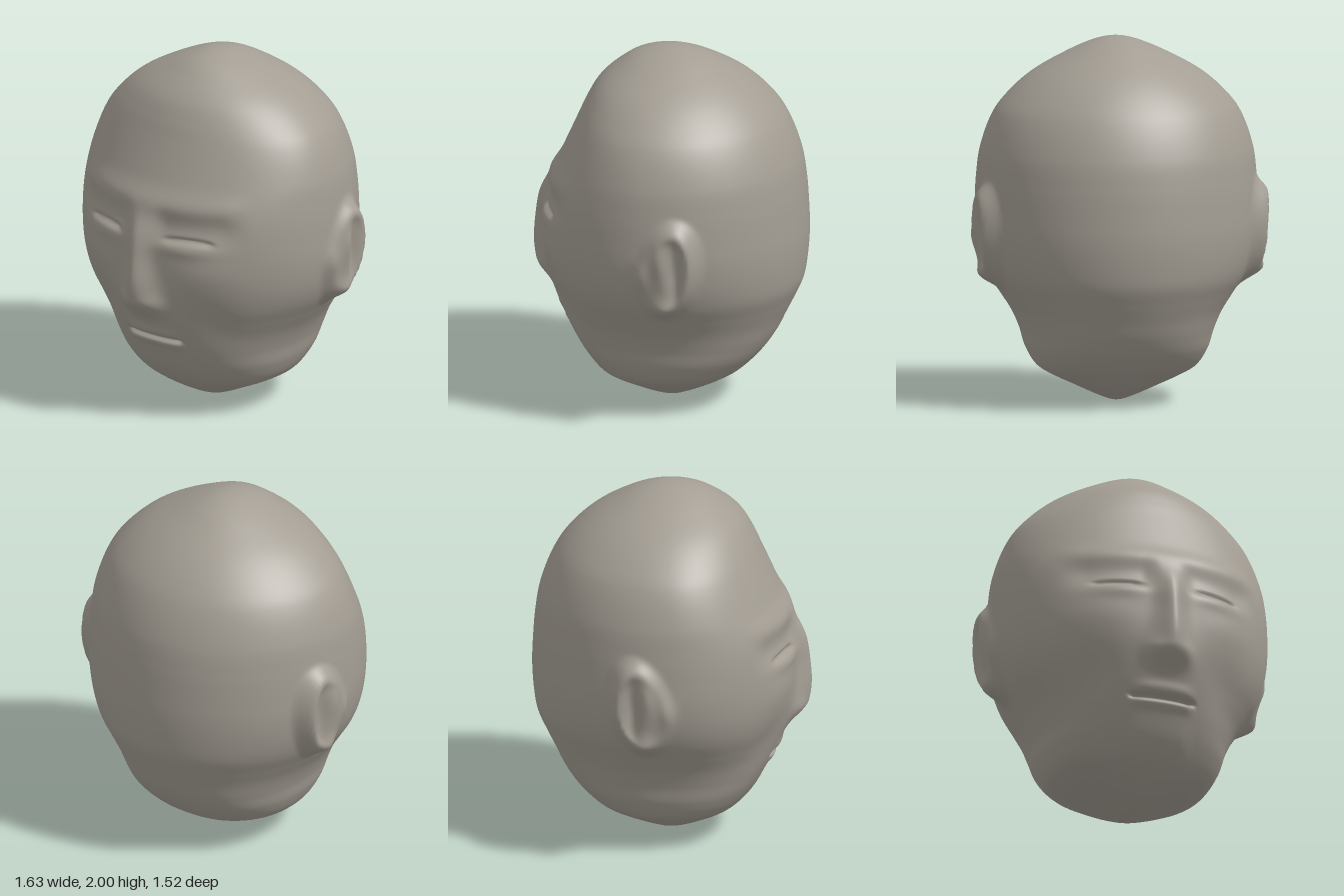
import * as THREE from 'three';
import { mergeVertices } from 'three/addons/utils/BufferGeometryUtils.js';

const COLS = 256, ROWS = 280;
// Skull profile from chin to crown: height, half width, front depth, back depth
const PROFILE = [
  [0, 0, 0, 0], [0.008, 0.04, 0.05, 0.05], [0.035, 0.11, 0.13, 0.12], [0.1, 0.25, 0.26, 0.255],
  [0.15, 0.355, 0.335, 0.34], [0.2, 0.435, 0.39, 0.415], [0.3, 0.495, 0.465, 0.515],
  [0.4, 0.525, 0.53, 0.585], [0.5, 0.57, 0.585, 0.635], [0.6, 0.635, 0.63, 0.685],
  [0.7, 0.7, 0.66, 0.728], [0.8, 0.74, 0.68, 0.745], [0.95, 0.768, 0.69, 0.755],
  [1.1, 0.772, 0.69, 0.75], [1.25, 0.765, 0.66, 0.738], [1.4, 0.745, 0.59, 0.712],
  [1.6, 0.67, 0.5, 0.632], [1.7, 0.59, 0.455, 0.56], [1.8, 0.475, 0.395, 0.455],
  [1.9, 0.3, 0.285, 0.305], [1.965, 0.155, 0.18, 0.175], [1.993, 0.065, 0.08, 0.075], [2, 0, 0, 0],
];

const step = THREE.MathUtils.smoothstep;
const bell = (d, s) => Math.exp(-((d / s) ** 2));
const blob = (x, y, cx, cy, sx, sy) => bell(x - cx, sx) * bell(y - cy, sy);

// Forward relief of the face; a = distance from the midline
function faceRelief(a, y) {
  let d = 0;
  // nose ridge widening to the tip, with soft wings
  const length = (1 - step(y, 0.78, 1.3)) * step(y, 0.56, 0.73);
  const width = 0.065 + 0.035 * (1 - step(y, 0.72, 1.0));
  d += (0.03 * step(y, 0.6, 0.74) * (1 - step(y, 1.1, 1.28)) + 0.055 * length) * bell(a, width);
  d += 0.022 * blob(a, y, 0.095, 0.71, 0.05, 0.06);
  // brow, eye socket, lid and eye slit
  d += 0.012 * bell(y - 1.29, 0.06) * (1 - step(a, 0.45, 0.6));
  d -= 0.028 * step(a, 0.05, 0.15) * (1 - step(a, 0.42, 0.6)) * bell(y - 1.17, 0.085);
  d += 0.012 * blob(a, y, 0.28, 1.06, 0.15, 0.04);
  const eyeY = 1.108 - 0.5 * (a - 0.28) ** 2;
  d -= 0.024 * step(a, 0.12, 0.2) * (1 - step(a, 0.37, 0.45)) * bell(y - eyeY, 0.013);
  // cheekbones and hollows
  d += 0.012 * blob(a, y, 0.4, 0.92, 0.18, 0.1);
  d -= 0.022 * blob(a, y, 0.36, 0.62, 0.14, 0.14);
  // lips, mouth slit and chin
  d += 0.012 * bell(y - 0.45, 0.025) * (1 - step(a, 0.12, 0.21));
  d += 0.012 * bell(y - 0.52, 0.035) * (1 - step(a, 0.1, 0.22));
  d -= 0.035 * bell(y - 0.482, 0.013) * (1 - step(a, 0.15, 0.21));
  d += 0.012 * bell(y - 0.28, 0.09) * (1 - step(a, 0.14, 0.24));
  return d;
}

// Sideways relief of an ear
function earRelief(y, z) {
  const u = (z + 0.155 + 0.12 * (y - 0.95)) / 0.18, v = (y - 0.94) / 0.3;
  const e = Math.hypot(u, v), rear = step(-u, -1, 0.8);
  let d = (0.028 + 0.035 * rear) * (1 - step(e, 0.65, 1.08));
  d += 0.024 * bell(e - 0.78, 0.16) * step(-u, -0.6, 0.3);  // outer rim
  d -= 0.04 * blob(z, y, -0.2, 0.95, 0.035, 0.15);           // hollow
  d += 0.014 * blob(z, y, -0.12, 1.02, 0.035, 0.1);          // inner fold
  d += 0.022 * blob(z, y, -0.13, 0.74, 0.06, 0.06);          // lobe
  d += 0.016 * blob(z, y, 0, 0.92, 0.04, 0.08);              // front flap
  return d;
}

function headGeometry() {
  const along = [0];
  for (let i = 1; i < PROFILE.length; i++) {
    const [p, q] = [PROFILE[i - 1], PROFILE[i]];
    along.push(along[i - 1] + Math.hypot(q[0] - p[0], q[1] - p[1]));
  }
  const total = along[along.length - 1];
  const curve = new THREE.CubicInterpolant(along, PROFILE.flat(), 4, new Float32Array(4));
  const position = [], index = [];
  for (let i = 0; i <= ROWS; i++) {
    const [y, w, front, back] = i === 0 ? PROFILE[0]
      : i === ROWS ? PROFILE[PROFILE.length - 1] : curve.evaluate(total * i / ROWS);
    const n = 2 + 0.3 * bell(y - 0.3, 0.22); // squarer section at the jaw
    for (let j = 0; j < COLS; j++) {
      const t = j / COLS * Math.PI * 2, s = Math.sin(t), c = Math.cos(t);
      const r = (Math.abs(s) ** n + Math.abs(c) ** n) ** (-1 / n);
      let x = w * r * s, z = (c > 0 ? front : back) * r * c;
      const z0 = z;
      if (c > 0) z += faceRelief(Math.abs(x), y) * step(c, 0.1, 0.6);
      if (Math.abs(s) > 0.5) x += Math.sign(s) * earRelief(y, z0) * step(Math.abs(s), 0.5, 0.8);
      position.push(x, y, z);
      if (i < ROWS) {
        const k = (j + 1) % COLS, a = i * COLS, b = a + COLS;
        if (i > 0) index.push(a + j, a + k, b + j);
        if (i < ROWS - 1) index.push(a + k, b + k, b + j);
        if (i === 0) continue;
      }
    }
  }
  const raw = new THREE.BufferGeometry();
  raw.setAttribute('position', new THREE.Float32BufferAttribute(position, 3));
  raw.setIndex(index);
  const geometry = mergeVertices(raw, 1e-5); // close the chin and crown points
  geometry.computeVertexNormals();
  return geometry;
}

export function createModel() {
  const clay = new THREE.MeshStandardMaterial({ color: 0xa39d93 });
  clay.name = 'grey clay';
  const model = new THREE.Group();
  model.name = 'head model';
  const head = new THREE.Mesh(headGeometry(), clay);
  head.name = 'head';
  model.add(head);
  return model;
}
